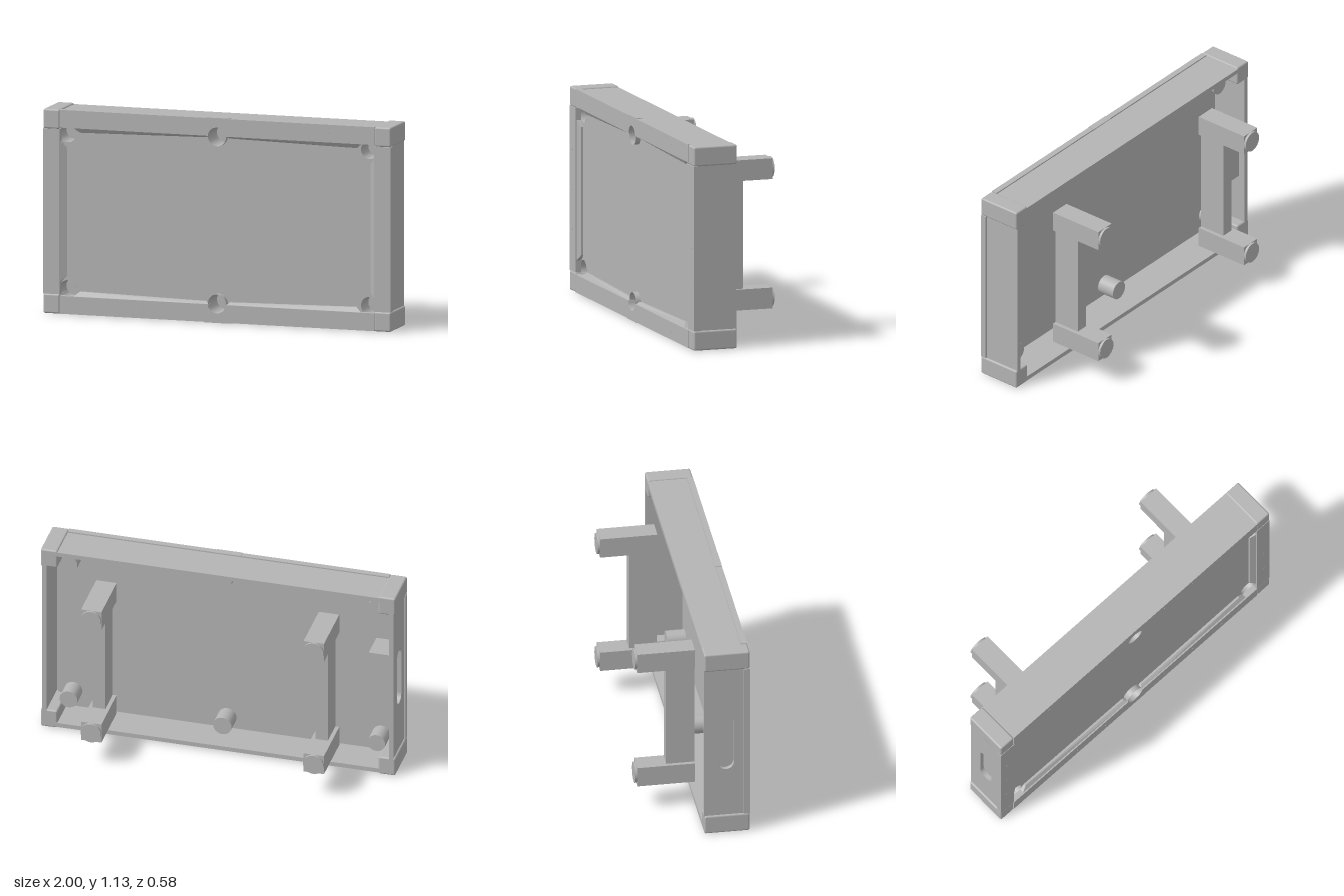
import * as THREE from 'three';
import { RoundedBoxGeometry } from 'three/addons/geometries/RoundedBoxGeometry.js';
import { ConvexGeometry } from 'three/addons/geometries/ConvexGeometry.js';

export function createModel() {
  const root = new THREE.Group();
  const table = new THREE.Group();
  table.name = 'table';
  table.position.y = 0.565; // parts are placed around the middle of the playing field
  root.add(table);
  const grey = new THREE.MeshStandardMaterial({ color: 0xb4b4b4, side: THREE.DoubleSide });
  grey.name = 'plain grey';

  const add = (name, geometry, x = 0, y = 0, z = 0) => {
    const mesh = new THREE.Mesh(geometry, grey);
    mesh.name = name;
    mesh.position.set(x, y, z);
    table.add(mesh);
    return mesh;
  };
  // box given by its limits
  const box = (name, x0, x1, y0, y1, z0, z1) =>
    add(name, new THREE.BoxGeometry(Math.abs(x1 - x0), Math.abs(y1 - y0), z1 - z0),
      (x0 + x1) / 2, (y0 + y1) / 2, (z0 + z1) / 2);
  const extrude = (shape, depth) =>
    new THREE.ExtrudeGeometry(shape, { depth, bevelEnabled: false, curveSegments: 16 });
  const rectangle = (x0, x1, y0, y1) => new THREE.Shape([
    new THREE.Vector2(x0, y0), new THREE.Vector2(x1, y0),
    new THREE.Vector2(x1, y1), new THREE.Vector2(x0, y1)]);
  const signs = [-1, 1];

  // pockets: four corners and two in the middle of the long sides
  const pockets = [];
  for (const sy of signs) {
    pockets.push([0, sy * 0.46, 0.052]);
    for (const sx of signs) pockets.push([sx * 0.868, sy * 0.43, 0.05]);
  }

  // playing bed with pocket holes
  const bed = rectangle(-0.955, 0.955, -0.53, 0.53);
  for (const [x, y, r] of pockets) {
    bed.holes.push(new THREE.Path().absarc(x, y, r, 0, Math.PI * 2, true));
  }
  add('bed', extrude(bed, 0.015), 0, 0, 0.24);

  // pocket cups, open to the front
  for (const [x, y, r] of pockets) {
    const top = x === 0 ? 0.285 : 0.256, bottom = 0.135;
    const wall = new THREE.CylinderGeometry(r, r, top - bottom, 32, 1, true).rotateX(Math.PI / 2);
    add('pocketCup', wall, x, y, (top + bottom) / 2);
    add('pocketFloor', new THREE.CircleGeometry(r, 32), x, y, bottom);
  }

  // long rails, notched for the middle pockets
  for (const s of signs) {
    const rail = new THREE.Shape();
    rail.moveTo(-0.905, -0.562);
    rail.lineTo(0.905, -0.562);
    rail.lineTo(0.905, -0.464);
    rail.lineTo(0.052, -0.464);
    rail.absarc(0, -0.46, 0.052, -0.08, Math.PI + 0.08, true);
    rail.lineTo(-0.905, -0.464);
    const mesh = add('longRail', extrude(rail, 0.033), 0, 0, 0.257);
    if (s > 0) {
      mesh.rotation.z = Math.PI;
    }
    // pocket plate lip on the outer edge
    box('pocketPlate', -0.072, 0.072, s * 0.562, s * 0.565, 0.252, 0.29);
    // side apron
    box('longApron', -0.92, 0.92, s * 0.53, s * 0.555, 0.04, 0.257);
  }

  // end rails
  for (const s of signs) box('endRail', s * 0.905, s, -0.455, 0.455, 0.257, 0.29);

  // end aprons, the right one with a ball return slot
  box('endApron', 0.965, 0.99, -0.47, 0.47, 0.04, 0.257);
  const apron = rectangle(0.04, 0.257, -0.47, 0.47);
  const slot = new THREE.Path();
  slot.absarc(0.16, 0.125, 0.045, 0, Math.PI, false);
  slot.absarc(0.16, -0.125, 0.045, Math.PI, Math.PI * 2, false);
  slot.closePath();
  apron.holes.push(slot);
  add('slottedEndApron', extrude(apron, 0.025), -0.965, 0, 0).rotation.y = -Math.PI / 2;
  table.children.at(-1).rotation.y = -Math.PI / 2;
  box('ballReturnBox', -0.965, -0.84, -0.175, 0.175, 0.08, 0.24);

  // rounded corner blocks
  for (const sx of signs) for (const sy of signs) {
    add('cornerBlock', new RoundedBoxGeometry(0.095, 0.108, 0.25, 3, 0.01),
      sx * 0.9525, sy * 0.509, 0.165);
  }

  // cushions: wedges sloping from the rail edge down to the nose
  const cushion = (name, a0, a1, b0, b1, edge, n0, n1, place) => {
    const points = [];
    for (const z of [0.25, 0.284]) points.push([a0, edge, z], [a1, edge, z]);
    for (const z of [0.25, 0.267]) points.push([b0, n0, z], [b1, n1, z]);
    add(name, new ConvexGeometry(points.map(([a, b, z]) => new THREE.Vector3(...place(a, b), z))));
  };
  for (const s of signs) {
    for (const t of signs) {
      cushion('longCushion', 0.05, 0.83, 0.065, 0.795, 0.466, 0.452, 0.438, (a, b) => [t * a, s * b]);
    }
    cushion('endCushion', -0.39, 0.39, -0.355, 0.355, 0.907, 0.875, 0.875, (a, b) => [s * b, a]);
  }

  // small sight dots on the rails
  const sight = (x, y) => add('sight',
    new THREE.CylinderGeometry(0.005, 0.005, 0.002, 10).rotateX(Math.PI / 2), x, y, 0.29);
  for (const s of signs) {
    for (const y of [-0.22, 0, 0.22]) sight(s * 0.957, y);
    for (const x of [0.22, 0.43, 0.64]) for (const t of signs) sight(t * x, s * 0.518);
  }

  // legs with round feet, joined in pairs by a beam
  for (const sx of signs) {
    for (const sy of signs) {
      box('leg', sx * 0.57, sx * 0.685, sy * 0.3, sy * 0.415, -0.277, 0.04);
      add('foot', new THREE.CylinderGeometry(0.0575, 0.0575, 0.014, 24).rotateX(Math.PI / 2),
        sx * 0.6275, sy * 0.3575, -0.283);
    }
    box('legBeam', sx * 0.592, sx * 0.663, -0.3, 0.3, -0.115, 0.04);
  }
  return root;
}
